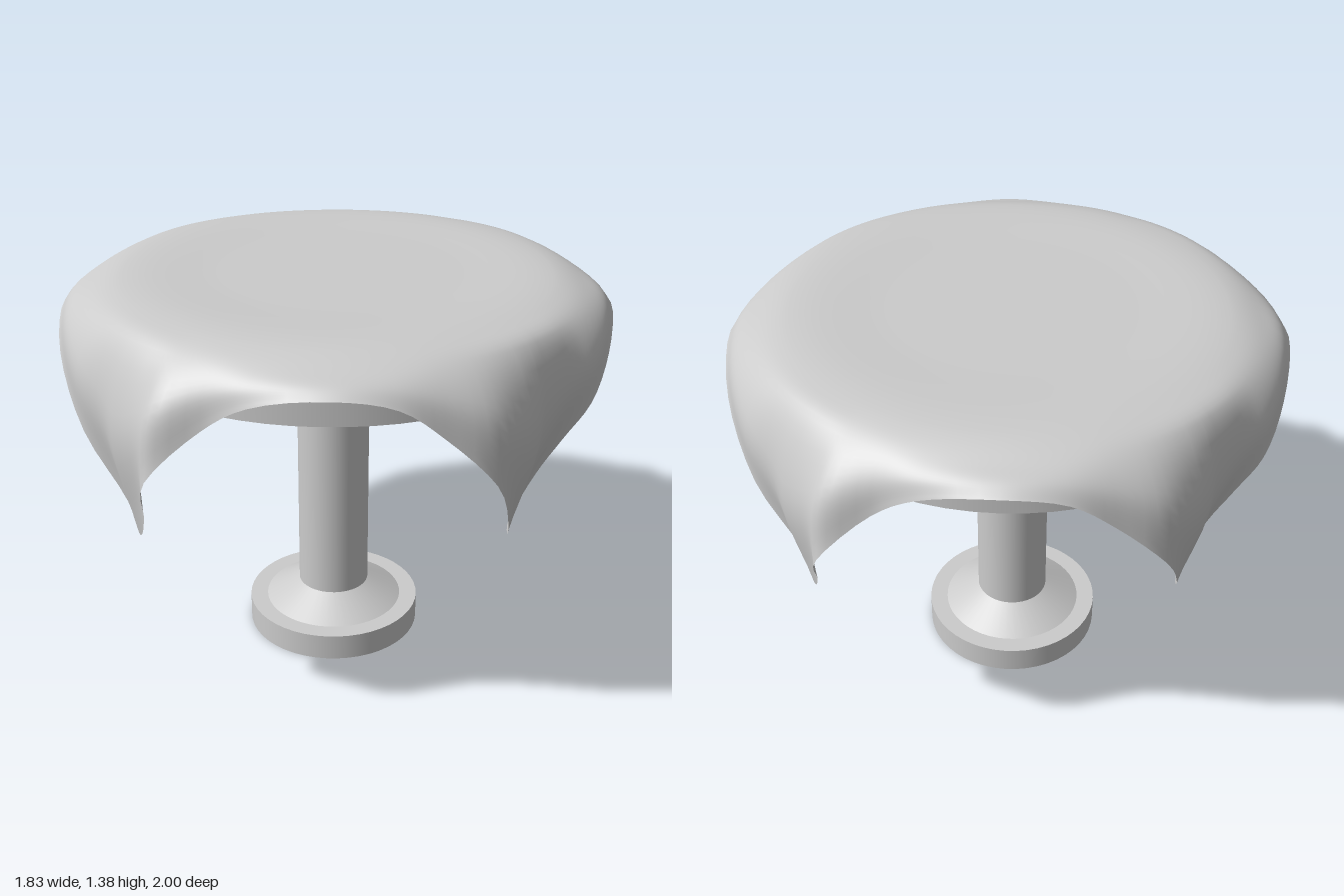
import * as THREE from 'three';

const CENTRE_X = -0.018; // axis of the table under the slightly shifted cloth

// Half of the hem, front corner then left corner; the other half is the same turned by 180 degrees
const HALF_HEM = [
  [-0.70, 1.26, 0.61], [-0.50, 1.17, 0.79], [-0.30, 0.98, 0.87], [-0.14, 0.77, 0.84],
  [-0.07, 0.69, 0.86], [-0.03, 0.71, 0.88], [0.05, 0.82, 0.93], [0.15, 1.00, 1.00],
  [0.27, 1.16, 0.88], [0.40, 1.25, 0.82], [0.61, 1.295, 0.70], [0.74, 1.26, 0.56],
  [0.82, 1.16, 0.45], [0.91, 0.99, 0.31], [0.85, 0.77, 0.15], [0.80, 0.69, 0.08],
  [0.775, 0.71, 0.04], [0.80, 0.85, -0.06], [0.85, 0.97, -0.13], [0.885, 1.07, -0.22],
  [0.84, 1.18, -0.38],
];

// Cloth: one curved strip from the centre to each point of the hem
function clothGeometry(columns = 168, rows = 24) {
  const points = [
    ...HALF_HEM.map(([x, y, z]) => new THREE.Vector3(x, y, z)),
    ...HALF_HEM.map(([x, y, z]) => new THREE.Vector3(-x, y, -z)),
  ];
  const hem = new THREE.CatmullRomCurve3(points, true, 'centripetal');
  const positions = [0, 1.375, 0];
  const index = [];

  for (let i = 0; i < columns; i++) {
    const end = hem.getPoint(i / columns);
    const reach = Math.hypot(end.x, end.z);
    const drop = 1.34 - end.y;
    // profile: flat top, rounded shoulder, outward belly, hem
    const profile = new THREE.CatmullRomCurve3([
      new THREE.Vector3(0.4, 1.375, 0),
      new THREE.Vector3(0.72, 1.377, 0),
      new THREE.Vector3(0.835, 1.34, 0),
      new THREE.Vector3((0.835 + reach) / 2 + 0.13 * drop, 1.34 - 0.4 * drop, 0),
      new THREE.Vector3(reach, end.y, 0),
    ], false, 'centripetal');
    for (let j = 0; j <= rows; j++) {
      const p = profile.getPoint(j / rows);
      positions.push((end.x / reach) * p.x, p.y, (end.z / reach) * p.x);
    }
  }

  const at = (i, j) => 1 + (i % columns) * (rows + 1) + j;
  for (let i = 0; i < columns; i++) {
    index.push(0, at(i, 0), at(i + 1, 0));
    for (let j = 0; j < rows; j++) {
      const a = at(i, j), b = at(i, j + 1), c = at(i + 1, j + 1), d = at(i + 1, j);
      index.push(a, b, c, a, c, d);
    }
  }
  const geometry = new THREE.BufferGeometry();
  geometry.setAttribute('position', new THREE.Float32BufferAttribute(positions, 3));
  geometry.setIndex(index);
  geometry.computeVertexNormals();
  return geometry;
}

export function createModel() {
  const group = new THREE.Group();
  const solid = new THREE.MeshStandardMaterial({ color: 0xcccccc });
  const thin = new THREE.MeshStandardMaterial({ color: 0xcccccc, side: THREE.DoubleSide });

  const add = (name, geometry, material, x = 0, y = 0) => {
    const mesh = new THREE.Mesh(geometry, material);
    mesh.name = name;
    mesh.position.set(x, y, 0);
    group.add(mesh);
  };

  // Round top
  add('tabletop', new THREE.CylinderGeometry(0.803, 0.803, 0.175, 64), solid, CENTRE_X, 1.2425);

  // Hollow pedestal, open underneath; each straight piece keeps its crisp edges
  const pedestal = [
    ['baseRim', [0.313, 0], [0.313, 0.095]],
    ['baseTop', [0.313, 0.095], [0.25, 0.095]],
    ['baseCone', [0.25, 0.095], [0.128, 0.165]],
    ['column', [0.128, 0.165], [0.128, 1.156]],
  ];
  for (const [name, from, to] of pedestal) {
    const line = [new THREE.Vector2(...from), new THREE.Vector2(...to)];
    add(name, new THREE.LatheGeometry(line, 48), thin, CENTRE_X);
  }

  // Square cloth with four hanging corners
  add('tablecloth', clothGeometry(), thin);

  return group;
}
